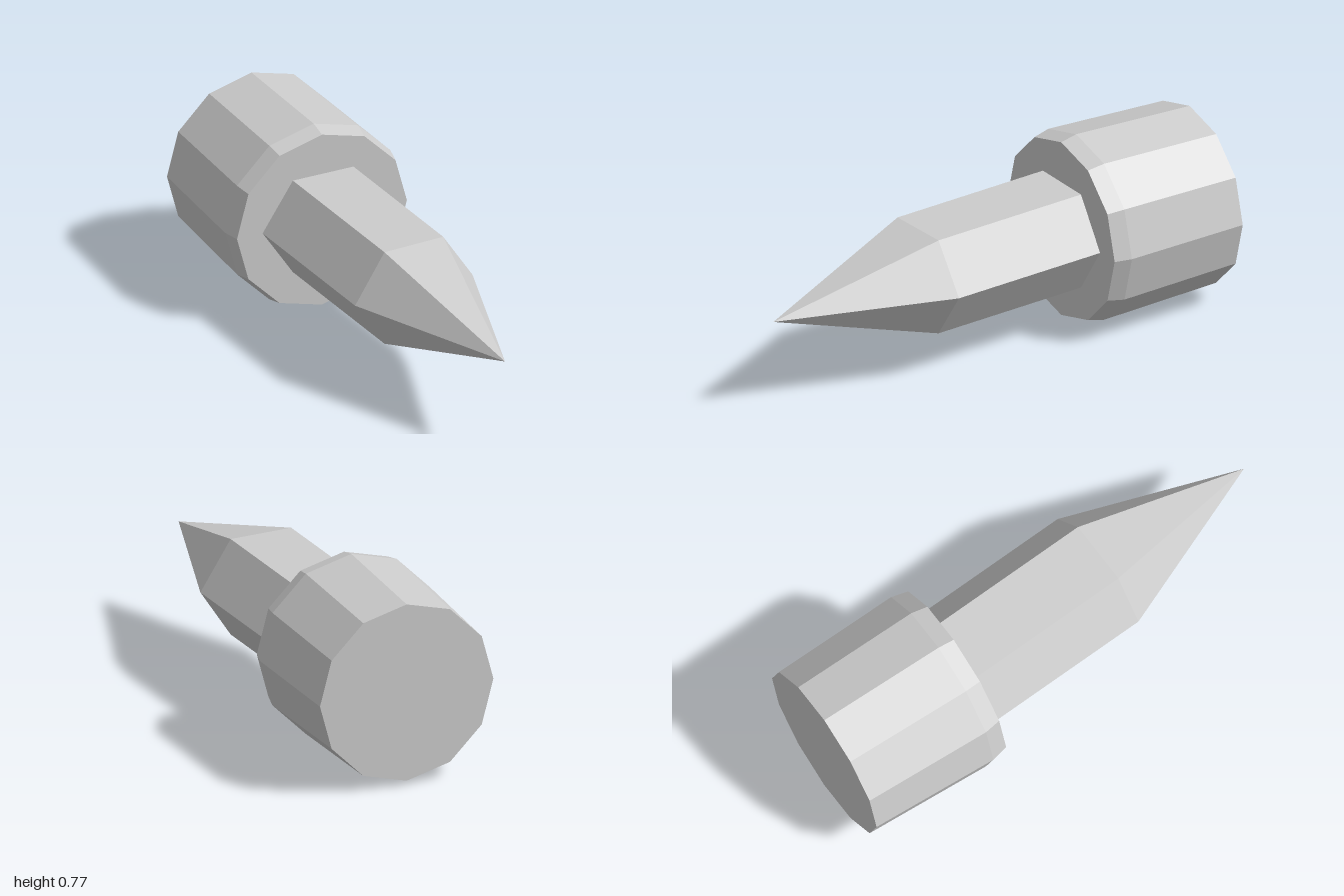
import * as THREE from 'three';

const grey = new THREE.MeshStandardMaterial({ color: 0xcccccc, flatShading: true });
grey.name = 'light grey';

// Faceted solid turned from [radius, z] pairs, with its axis along z
function turned(name, profile, sides, phase = 0) {
  const points = profile.map(([r, z]) => new THREE.Vector2(r, z));
  const geometry = new THREE.LatheGeometry(points, sides, phase);
  geometry.rotateX(Math.PI / 2);
  const mesh = new THREE.Mesh(geometry, grey);
  mesh.name = name;
  return mesh;
}

export function createModel() {
  const model = new THREE.Group();
  model.name = 'spike';
  const axisHeight = 0.387;

  // Twelve-sided base, tapering to the back, with a bevelled front rim
  const base = turned('base', [
    [0, -1], [0.367, -1], [0.385, -0.47], [0.369, -0.4], [0, -0.4],
  ], 12);
  base.position.y = axisHeight;

  // Six-sided pointed shaft, slightly flattened and turned a little to the left
  const shaft = turned('pointedShaft', [
    [0, 0], [0.2628, 0], [0.2628, 0.796], [0, 1.499],
  ], 6, Math.PI / 2);
  shaft.geometry.scale(1, 0.873, 1);
  shaft.rotation.y = 0.0536;
  shaft.position.set(0, axisHeight, -0.497);

  model.add(base, shaft);
  return model;
}
